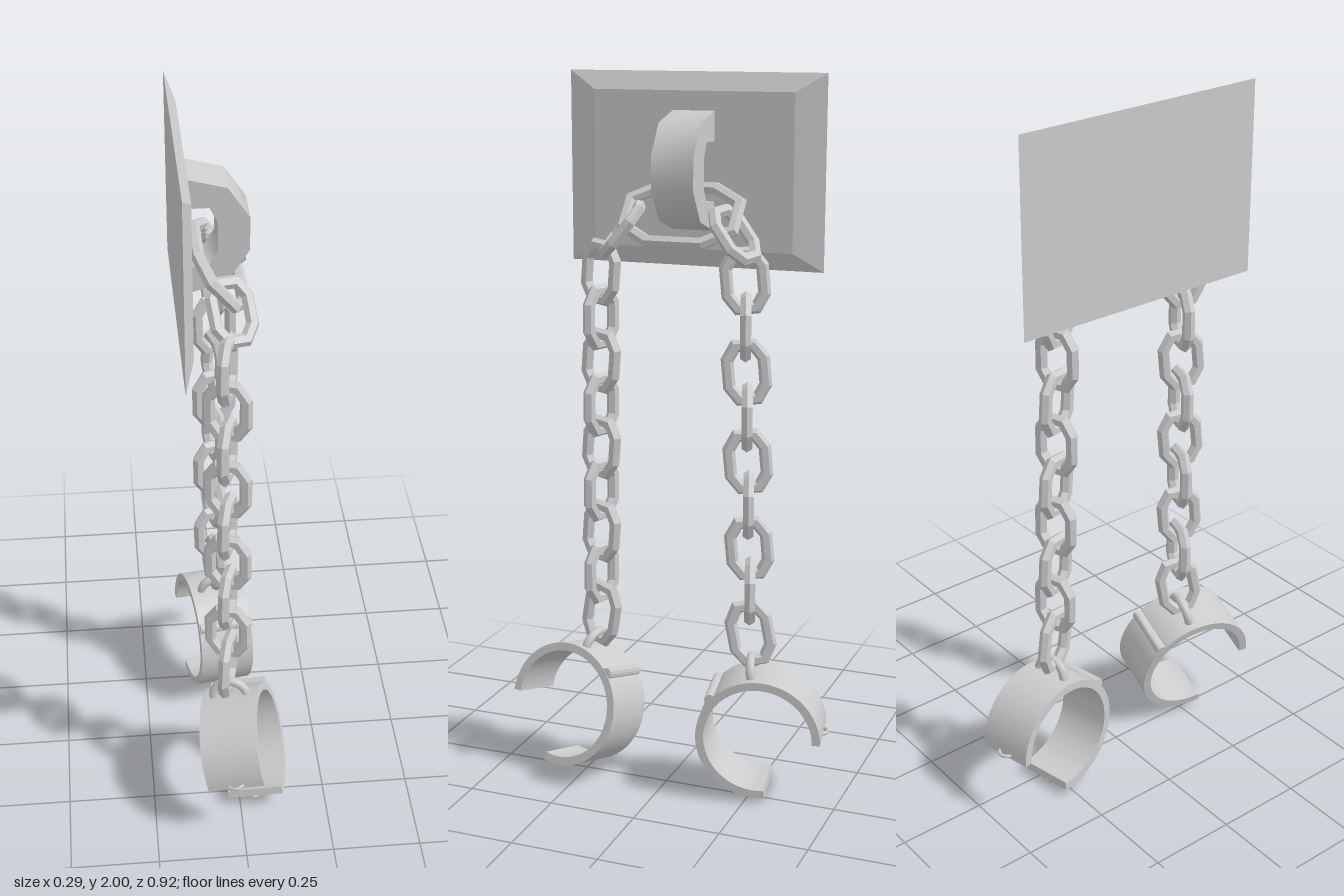
import * as THREE from 'three';
import { toCreasedNormals } from 'three/addons/utils/BufferGeometryUtils.js';

const V = (x, y, z) => new THREE.Vector3(x, y, z);
const flat = new THREE.MeshStandardMaterial({ color: 0xcccccc, flatShading: true });
const smooth = new THREE.MeshStandardMaterial({ color: 0xcccccc });

function add(parent, name, geometry, material = flat) {
  const mesh = new THREE.Mesh(geometry, material);
  mesh.name = name;
  parent.add(mesh);
  return mesh;
}

// Turns an object so its local Y follows "along" and its local Z follows "normal"
function orient(object, along, normal) {
  const z = normal.clone().normalize();
  const y = along.clone().addScaledVector(z, -along.dot(z)).normalize();
  const x = new THREE.Vector3().crossVectors(y, z);
  object.quaternion.setFromRotationMatrix(new THREE.Matrix4().makeBasis(x, y, z));
  return object;
}

// Long octagonal link: a torus whose rings are moved onto mitred corners
function linkGeometry(halfLength, halfWidth, r) {
  const l = halfLength - r, w = halfWidth - r, c = w * 0.5, s = l * 0.5;
  const path = [[w, -s], [w, s], [c, l], [-c, l], [-w, s], [-w, -s], [-c, -l], [c, -l]]
    .map(p => new THREE.Vector2(...p));
  const n = path.length, sides = 6;
  const edgeNormal = (a, b) => new THREE.Vector2(b.y - a.y, a.x - b.x).normalize();
  const mitres = path.map((p, i) => {
    const a = edgeNormal(path[(i + n - 1) % n], p), b = edgeNormal(p, path[(i + 1) % n]);
    const m = a.clone().add(b).normalize();
    return m.divideScalar(m.dot(a));
  });
  const g = new THREE.TorusGeometry(1, r, sides, n);
  const pos = g.attributes.position;
  for (let j = 0; j <= sides; j++) {
    const v = (j / sides) * Math.PI * 2;
    for (let i = 0; i <= n; i++) {
      const p = path[i % n], m = mitres[i % n], o = r * Math.cos(v);
      pos.setXYZ(j * (n + 1) + i, p.x + m.x * o, p.y + m.y * o, r * Math.sin(v));
    }
  }
  g.computeVertexNormals();
  return g;
}

// Wall plate with a bevelled front
function buildPlate(parent) {
  const g = new THREE.BoxGeometry(0.026, 0.52, 0.73);
  const p = g.attributes.position;
  for (let i = 0; i < p.count; i++) {
    if (p.getX(i) > 0) {
      p.setY(i, p.getY(i) * 0.81);
      p.setZ(i, p.getZ(i) * 0.78);
    }
  }
  g.computeVertexNormals();
  add(parent, 'wallPlate', g).position.set(-0.127, 1.74, -0.03);
}

// Hook-shaped bracket, softly shaded around its outer face
function buildBracket(parent) {
  const outline = [
    [-0.118, 1.9], [-0.01, 1.872], [0.045, 1.79], [0.045, 1.7], [-0.01, 1.615],
    [-0.118, 1.58], [-0.118, 1.66], [-0.06, 1.66], [-0.035, 1.7],
    [-0.035, 1.78], [-0.055, 1.82], [-0.118, 1.82],
  ].map(p => new THREE.Vector2(...p));
  const g = new THREE.ExtrudeGeometry(new THREE.Shape(outline), { depth: 0.118, bevelEnabled: false });
  add(parent, 'bracket', toCreasedNormals(g, 1.1), smooth).position.z = -0.092;
}

// Hanging chain; side is +1 or -1 in z
function buildChain(parent, side, zTop, zBottom) {
  const chain = new THREE.Group();
  chain.name = side > 0 ? 'frontChain' : 'rearChain';
  const geometry = linkGeometry(0.09, 0.066, 0.017);
  const top = add(chain, 'slantedLink', geometry);
  top.position.set(-0.01, 1.588, -0.028 + side * 0.16);
  orient(top, V(0.15, -0.75, side * 0.65), V(0.3, 0.6, side * 0.7));
  const count = 9;
  for (let k = 0; k < count; k++) {
    const t = k / (count - 1);
    const last = k === count - 1;
    const link = add(chain, 'chainLink', last ? linkGeometry(0.097, 0.066, 0.017) : geometry);
    link.position.set(-0.028, 1.465 - 0.985 * t, THREE.MathUtils.lerp(zTop, zBottom, t));
    const yaw = (k % 2 ? Math.PI / 2 : 0) + side * 0.32;
    const lean = k % 2 ? 0 : (last ? 0.2 : 0.1) * side;
    orient(link, V(0, 1, -lean), V(Math.cos(yaw), 0, Math.sin(yaw)));
  }
  parent.add(chain);
}

// Open cuff; angles in degrees run around its axis, seen from +x
function buildCuff(parent, { name, centre, axis, from, to, clasps, hinge, staple }) {
  const cuff = new THREE.Group();
  cuff.name = name;
  const outer = 0.175, inner = 0.152, width = 0.162;
  const rad = THREE.MathUtils.degToRad;

  const shape = new THREE.Shape();
  shape.absarc(0, 0, outer, rad(from), rad(to), false);
  shape.absarc(0, 0, inner, rad(to), rad(from), true);
  const band = new THREE.ExtrudeGeometry(shape, { depth: width, bevelEnabled: false, curveSegments: 40 });
  band.translate(0, 0, -width / 2);
  add(cuff, 'cuffBand', toCreasedNormals(band, 0.5), smooth);

  const radial = deg => V(Math.cos(rad(deg)), Math.sin(rad(deg)), 0);
  // Half ring standing on the band, spread along the cuff axis
  const loop = (label, deg, size, r, base) => {
    const mesh = add(cuff, label, new THREE.TorusGeometry(size, r, 8, 14, Math.PI), smooth);
    const up = radial(deg);
    mesh.position.copy(up).multiplyScalar(base);
    orient(mesh, up, new THREE.Vector3().crossVectors(V(0, 0, 1), up));
  };

  const barrel = new THREE.CylinderGeometry(0.016, 0.016, width * 0.98, 12).rotateX(Math.PI / 2);
  add(cuff, 'hingeBarrel', toCreasedNormals(barrel, 0.8), smooth)
    .position.copy(radial(hinge).multiplyScalar(outer));
  clasps.forEach(deg => loop('claspLoop', deg, 0.022, 0.005, outer - 0.009));
  loop('chainStaple', staple, 0.048, 0.013, outer - 0.004);

  cuff.position.copy(centre);
  orient(cuff, V(0, 1, 0), axis);
  parent.add(cuff);
}

export function createModel() {
  const model = new THREE.Group();
  model.name = 'wallShackles';
  buildPlate(model);
  buildBracket(model);

  // Large link hanging through the bracket
  const ring = add(model, 'bracketLink', linkGeometry(0.172, 0.105, 0.017));
  ring.position.set(-0.03, 1.632, -0.03);
  orient(ring, V(0, 0, 1), V(0.76, 0.65, 0));

  buildChain(model, 1, 0.203, 0.21);
  buildChain(model, -1, -0.212, -0.24);

  buildCuff(model, {
    name: 'frontCuff', centre: V(0.011, 0.212, 0.27), axis: V(1, 0.26, 0.2),
    from: -103, to: 178, clasps: [175, -99], hinge: 41, staple: 79,
  });
  buildCuff(model, {
    name: 'rearCuff', centre: V(-0.032, 0.195, -0.274), axis: V(1, -0.03, -0.18),
    from: 0, to: 277, clasps: [3, 273], hinge: 140, staple: 98,
  });
  return model;
}
